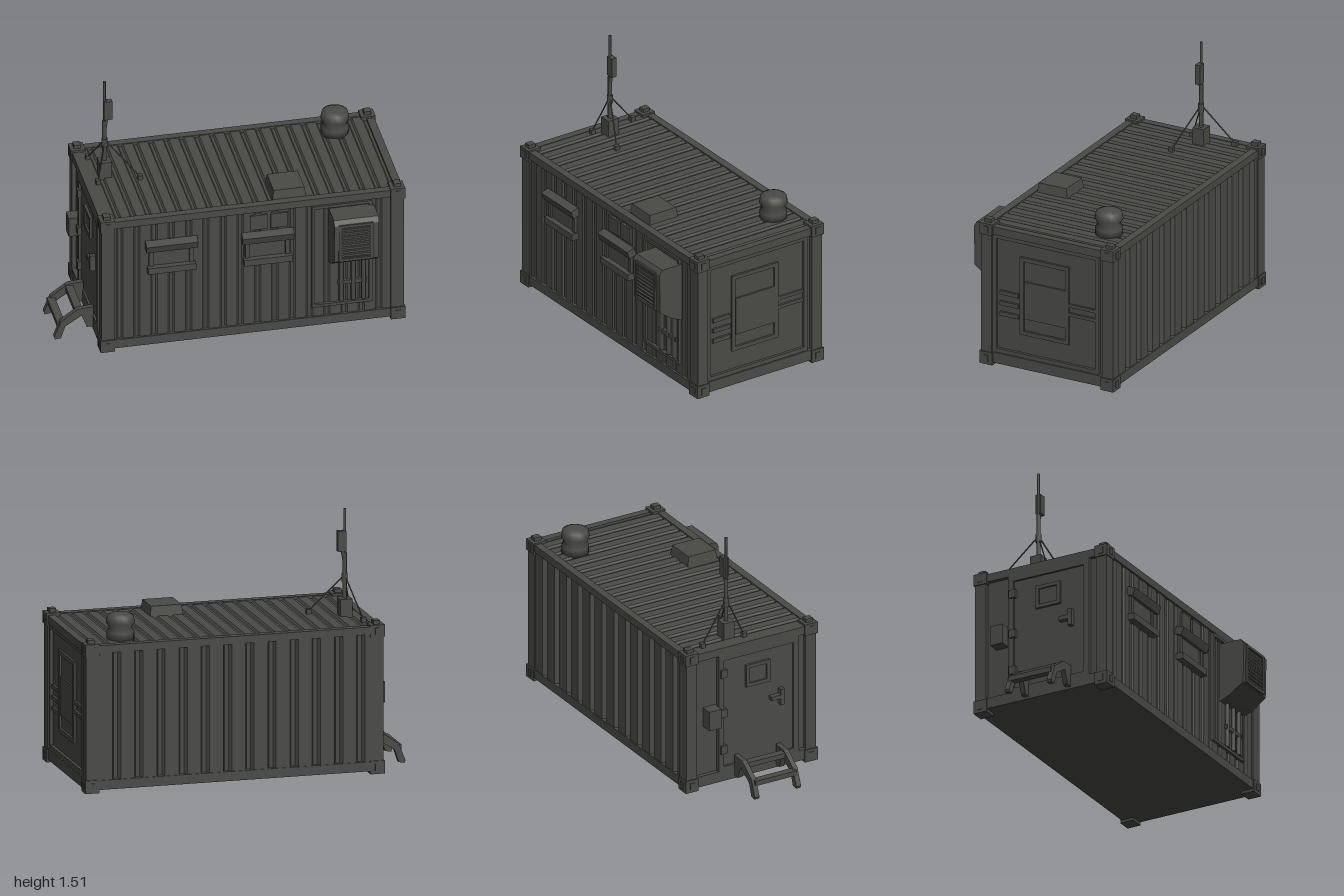
import * as THREE from 'three';

const steel = new THREE.MeshStandardMaterial({ color: 0x4a4b47 });
steel.name = 'dark steel';

export function createModel() {
  const root = new THREE.Group();
  root.name = 'containerShelter';

  const add = (name, geo) => {
    const m = new THREE.Mesh(geo, steel);
    m.name = name;
    root.add(m);
    return m;
  };
  // box given by its limits on each axis
  const box = (name, x0, x1, y0, y1, z0, z1) => {
    const m = add(name, new THREE.BoxGeometry(x1 - x0, y1 - y0, z1 - z0));
    m.position.set((x0 + x1) / 2, (y0 + y1) / 2, (z0 + z1) / 2);
    return m;
  };
  const extrude = (pts, depth) => new THREE.ExtrudeGeometry(
    new THREE.Shape(pts.map(p => new THREE.Vector2(p[0], p[1]))), { depth, bevelEnabled: false });
  // round bar between two points
  const rod = (name, a, b, r, sides = 6) => {
    const p = new THREE.Vector3(...a), q = new THREE.Vector3(...b), d = q.clone().sub(p);
    const m = add(name, new THREE.CylinderGeometry(r, r, d.length(), sides));
    m.position.copy(p).add(q).multiplyScalar(0.5);
    m.quaternion.setFromUnitVectors(new THREE.Vector3(0, 1, 0), d.normalize());
  };
  // trapezoid wave running along x from high to low level
  const wave = (x0, x1, n, high, low) => {
    const pts = [], p = (x1 - x0) / n;
    for (let i = 0; i < n; i++)
      for (const [t, v] of [[0, high], [0.62, high], [0.72, low], [0.9, low]])
        pts.push([x0 + (i + t) * p, v]);
    pts.push([x1, high]);
    return pts;
  };
  // rectangular frame of four bars on an end wall
  const endFrame = (name, x0, x1, y0, y1, z0, z1, w) => {
    box(name, x0, x1, y0, y0 + w, z0, z1);
    box(name, x0, x1, y1 - w, y1, z0, z1);
    box(name, x0, x1, y0 + w, y1 - w, z0, z0 + w);
    box(name, x0, x1, y0 + w, y1 - w, z1 - w, z1);
  };
  const frontFrame = (name, x0, x1, y0, y1, z0, z1, w) => {
    box(name, x0, x1, y0, y0 + w, z0, z1);
    box(name, x0, x1, y1 - w, y1, z0, z1);
    box(name, x0, x0 + w, y0 + w, y1 - w, z0, z1);
    box(name, x1 - w, x1, y0 + w, y1 - w, z0, z1);
  };

  // corrugated shell: shallow ribs in front, deeper ribs at the back
  const shell = extrude([...wave(-0.75, 0.96, 17, -0.355, -0.347),
    ...wave(-0.75, 0.96, 13, 0.49, 0.465).reverse()], 0.8);
  shell.rotateX(-Math.PI / 2);
  add('corrugatedWalls', shell).position.y = 0.05;
  const roof = extrude([[-0.74, 0.84], [0.95, 0.84], ...wave(-0.74, 0.95, 19, 0.885, 0.873).reverse()], 0.82);
  add('corrugatedRoof', roof).position.z = -0.475;
  box('floor', -0.77, 0.98, 0.045, 0.06, -0.49, 0.36);

  // frame: posts, rails and corner castings
  for (const [z0, z1] of [[0.295, 0.365], [-0.495, -0.425]]) {
    box('cornerPost', -0.775, -0.7, 0.06, 0.87, z0, z1);
    box('cornerPost', 0.91, 0.985, 0.06, 0.87, z0, z1);
  }
  for (const [z0, z1] of [[0.32, 0.365], [-0.495, -0.45]]) {
    box('bottomRail', -0.75, 0.96, 0.045, 0.1, z0, z1);
    box('topRail', -0.75, 0.96, 0.845, 0.89, z0, z1);
  }
  for (const [x0, x1] of [[-0.775, -0.73], [0.94, 0.985]]) {
    box('endBottomRail', x0, x1, 0.045, 0.11, -0.47, 0.34);
    box('endTopRail', x0, x1, 0.84, 0.888, -0.47, 0.34);
  }
  for (const sx of [-1, 1]) for (const sz of [-1, 1]) for (const [y0, y1] of [[0.028, 0.105], [0.83, 0.9]]) {
    const cx = 0.105 + sx * 0.845, cz = -0.065 + sz * 0.395;
    box('cornerCasting', cx - 0.042, cx + 0.042, y0, y1, cz - 0.042, cz + 0.042);
    const ym = (y0 + y1) / 2, ox = cx + sx * 0.042, oz = cz + sz * 0.042;
    box('castingLug', ox - 0.004, ox + 0.004, ym - 0.02, ym + 0.02, cz - 0.015, cz + 0.015);
    box('castingLug', cx - 0.015, cx + 0.015, ym - 0.02, ym + 0.02, oz - 0.004, oz + 0.004);
    if (y0 > 0.5) box('liftingLug', cx - 0.02, cx + 0.02, y1, y1 + 0.022, cz - 0.022, cz + 0.022);
  }

  // two shuttered windows on the front
  for (const [x0, y0] of [[-0.52, 0.53], [0.04, 0.51]]) {
    const x1 = x0 + 0.3;
    box('windowPane', x0 + 0.03, x1 - 0.03, y0 + 0.03, y0 + 0.18, 0.345, 0.362);
    frontFrame('windowFrame', x0 + 0.02, x1 - 0.02, y0, y0 + 0.2, 0.345, 0.372, 0.025);
    const hood = box('windowHood', x0, x1, y0 + 0.15, y0 + 0.2, 0.35, 0.4);
    hood.rotation.x = 0.35;
    box('windowSill', x0 + 0.01, x1 - 0.01, y0, y0 + 0.04, 0.35, 0.395);
  }
  for (const x of [0.09, 0.21]) box('wallPlate', x, x + 0.1, 0.73, 0.825, 0.345, 0.366);

  // service panel and air conditioner
  frontFrame('servicePanelFrame', 0.45, 0.8, 0.165, 0.84, 0.345, 0.37, 0.018);
  const ac = extrude([[-0.35, 0.45], [-0.42, 0.48], [-0.505, 0.54], [-0.51, 0.78], [-0.49, 0.81], [-0.35, 0.81]], 0.26);
  ac.rotateY(Math.PI / 2);
  add('airConditioner', ac).position.x = 0.55;
  frontFrame('grilleFrame', 0.575, 0.775, 0.545, 0.785, 0.5, 0.517, 0.016);
  for (let i = 0; i < 9; i++) {
    const slat = box('grilleSlat', 0.59, 0.76, 0.567 + i * 0.023, 0.58 + i * 0.023, 0.504, 0.514);
    slat.rotation.x = 0.4;
  }
  for (const x of [0.62, 0.69, 0.75]) rod('servicePipe', [x, 0.19, 0.362], [x, 0.48, 0.362], 0.014);
  box('pipeClamp', 0.6, 0.77, 0.3, 0.325, 0.345, 0.37);

  // right-hand end wall (+x) with framed hatch and louvres
  endFrame('endWallFrame', 0.95, 0.977, 0.11, 0.84, -0.4, 0.295, 0.025);
  endFrame('hatchFrame', 0.95, 0.973, 0.25, 0.73, -0.2, 0.12, 0.025);
  box('hatchPanel', 0.95, 0.97, 0.35, 0.58, -0.195, 0.09);
  for (const y of [0.34, 0.405, 0.47]) box('endLouvre', 0.95, 0.973, y, y + 0.025, 0.13, 0.25);
  for (const y of [0.43, 0.485]) box('endLouvre', 0.95, 0.973, y, y + 0.02, -0.38, -0.2);

  // door end (-x)
  endFrame('doorFrame', -0.775, -0.74, 0.1, 0.84, -0.28, 0.25, 0.035);
  box('door', -0.763, -0.74, 0.13, 0.81, -0.25, 0.22);
  endFrame('doorWindowFrame', -0.778, -0.755, 0.6, 0.74, -0.1, 0.06, 0.022);
  box('doorWindow', -0.768, -0.755, 0.62, 0.72, -0.08, 0.04);
  box('doorHandle', -0.795, -0.76, 0.44, 0.54, 0.12, 0.145);
  box('doorHandle', -0.795, -0.76, 0.48, 0.505, 0.06, 0.145);
  for (const y of [0.22, 0.45, 0.7]) box('doorHinge', -0.785, -0.76, y, y + 0.05, -0.27, -0.23);
  box('switchBox', -0.823, -0.74, 0.41, 0.53, -0.37, -0.29);

  // folding steps
  for (const z of [-0.175, 0.1]) {
    const side = extrude([[-0.77, 0.06], [-0.77, 0.19], [-0.86, 0.185], [-0.96, 0.115], [-1, 0.015],
      [-0.995, 0], [-0.96, 0.005], [-0.935, 0.08], [-0.84, 0.14], [-0.81, 0.06]], 0.03);
    add('stepSide', side).position.z = z;
  }
  box('stepTread', -0.875, -0.83, 0.145, 0.175, -0.16, 0.115);
  box('stepTread', -0.98, -0.935, 0.075, 0.105, -0.16, 0.115);

  // roof hatch with sloping sides
  const hatch = new THREE.CylinderGeometry(0.127, 0.141, 0.07, 4).toNonIndexed();
  hatch.rotateY(Math.PI / 4);
  hatch.computeVertexNormals();
  add('roofHatch', hatch).position.set(0.33, 0.907, 0.215);

  // ventilator with bulging cowl
  const cowl = [[0.001, 0], [0.08, 0], [0.08, 0.05], [0.066, 0.075], [0.083, 0.105], [0.075, 0.145], [0.045, 0.158], [0, 0.16]]
    .map(p => new THREE.Vector2(p[0], p[1]));
  add('roofVentilator', new THREE.LatheGeometry(cowl, 14)).position.set(0.735, 0.875, -0.33);

  // antenna mast with guy wires
  const ax = -0.645, az = -0.155;
  box('mastBase', ax - 0.036, ax + 0.036, 0.875, 0.985, az - 0.036, az + 0.036);
  rod('mast', [ax, 0.97, az], [ax, 1.25, az], 0.013, 8);
  rod('mastTip', [ax, 1.24, az], [ax, 1.51, az], 0.008, 8);
  rod('mastCollar', [ax, 1.08, az], [ax, 1.13, az], 0.018, 8);
  box('antennaPanel', ax - 0.005, ax + 0.043, 1.26, 1.38, az - 0.016, az + 0.016);
  rod('panelBracket', [ax + 0.015, 1.28, az], [ax, 1.19, az], 0.011);
  for (const [x, z] of [[-0.455, -0.07], [-0.7, -0.345], [-0.7, -0.07]]) {
    rod('guyWire', [ax, 1.12, az], [x, 0.9, z], 0.004);
    box('guyAnchor', x - 0.014, x + 0.014, 0.87, 0.912, z - 0.014, z + 0.014);
  }
  return root;
}
